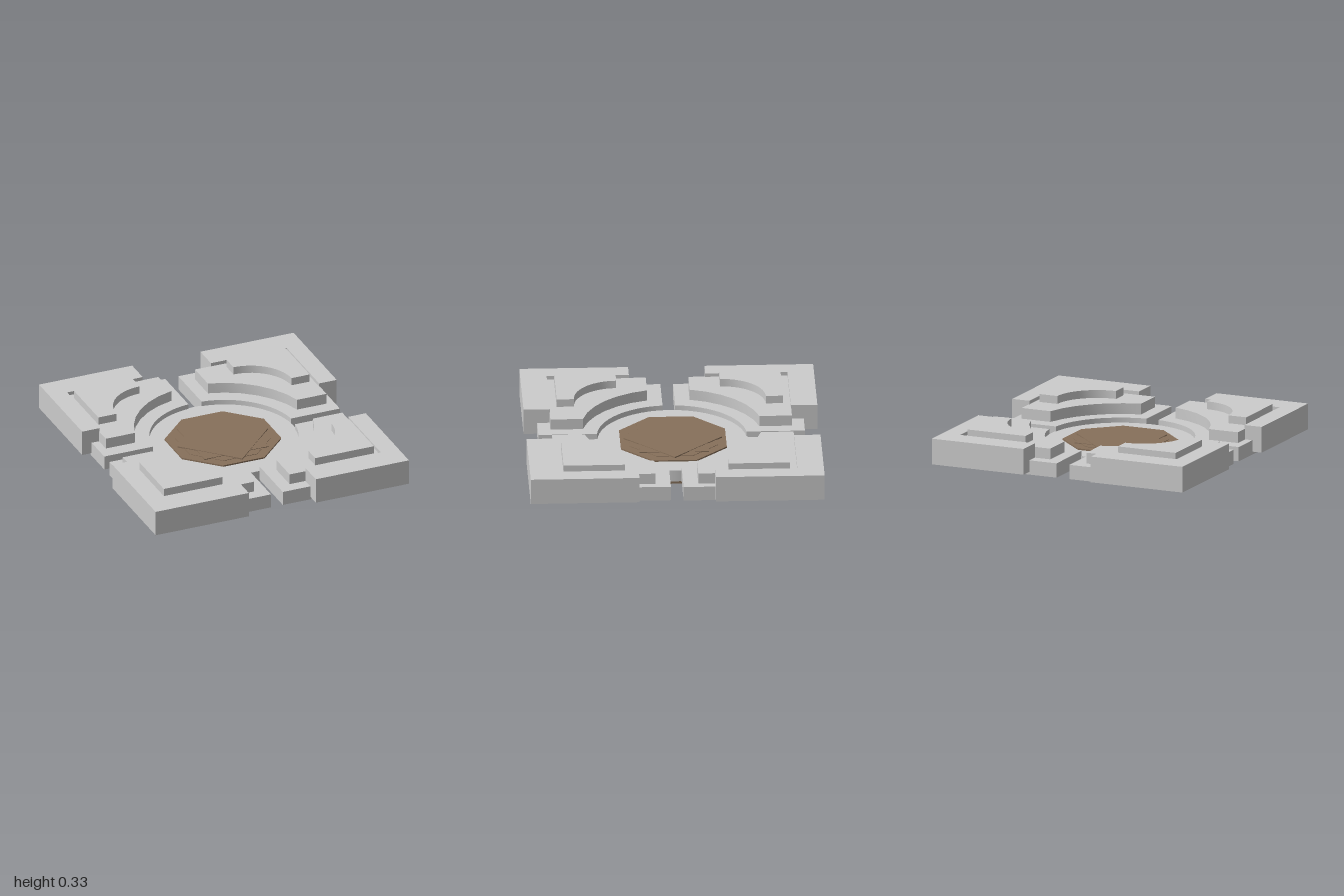
import * as THREE from 'three';
import { toCreasedNormals } from 'three/addons/utils/BufferGeometryUtils.js';

const grey = new THREE.MeshStandardMaterial({ color: 0xcccccc });
const brown = new THREE.MeshStandardMaterial({ color: 0x87705a });

// Solid with a plan outline of [x, z] points between two heights
function slab(name, points, y0, y1, material) {
  const shape = new THREE.Shape(points.map(([x, z]) => new THREE.Vector2(x, z)));
  const flat = new THREE.ExtrudeGeometry(shape, { depth: y1 - y0, bevelEnabled: false });
  flat.rotateX(Math.PI / 2).translate(0, y1, 0);
  const mesh = new THREE.Mesh(toCreasedNormals(flat, 0.4), material);
  mesh.name = name;
  return mesh;
}

// Points along an arc round (cx, cz), from angle a0 to a1
function arc(cx, cz, r, a0, a1, n) {
  return Array.from({ length: n + 1 }, (_, i) => {
    const a = a0 + (a1 - a0) * i / n;
    return [cx + r * Math.cos(a), cz + r * Math.sin(a)];
  });
}

// Rectangle whose inner corner is scooped out by a circle round the centre
function scooped(x0, z0, x1, z1, r, n) {
  return [[x1, z0], [x1, z1], [x0, z1],
    ...arc(0, 0, r, Math.acos(x0 / r), Math.asin(z0 / r), n)];
}

const layers = [
  ['lowerSlab', scooped(0.046, 0.043, 0.87, 0.907, 0.51, 16), 0.10, 0.2],
  ['middleStep', scooped(0.133, 0.145, 0.815, 0.822, 0.615, 6), 0.19, 0.275],
  ['cornerWall', [[0.25, 1], [0.94, 1], [0.94, 0.26], [0.81, 0.26], [0.81, 0.82], [0.25, 0.82]], 0.12, 0.3],
  ['topPlate', [[0.78, 0.353], [0.78, 0.77], [0.345, 0.77],
    ...arc(0.345, 0.353, 0.3, Math.PI / 2, 0, 14)], 0.27, 0.33],
];

export function createModel() {
  const model = new THREE.Group();
  model.name = 'floorOrnament';

  // Four stepped corners, mirrored in plan
  for (const sx of [-1, 1]) for (const sz of [-1, 1]) {
    const corner = new THREE.Group();
    corner.name = (sz > 0 ? 'front' : 'back') + (sx > 0 ? 'Left' : 'Right') + 'Corner';
    for (const [name, points, y0, y1] of layers) {
      corner.add(slab(name, points.map(([x, z]) => [x * sx, z * sz]), y0, y1, grey));
    }
    corner.position.x = sx < 0 ? -0.005 : sz > 0 ? -0.009 : 0;
    model.add(corner);
  }

  // Round plate joining the corners
  const disc = new THREE.Mesh(new THREE.CylinderGeometry(0.513, 0.513, 0.08, 48), grey);
  disc.name = 'centrePlate';
  disc.position.set(-0.003, 0.125, -0.006);
  model.add(disc);

  // Octagonal medallion with thin inlays on top
  const ngon = (sides, r, turn) => arc(0, 0, r, turn, turn + 2 * Math.PI, sides).slice(0, sides);
  const medallion = new THREE.Group();
  medallion.name = 'medallion';
  medallion.position.set(-0.012, 0, -0.007);
  const body = slab('medallionBody', ngon(8, 0.39, Math.PI / 8), 0, 0.175, brown);
  body.scale.x = 1.02;
  medallion.add(
    body,
    slab('octagonInlay', ngon(8, 0.325, Math.PI / 8), 0.17, 0.178, brown),
    slab('squareInlay', ngon(4, 0.335, Math.PI / 4), 0.17, 0.181, brown),
    slab('diamondInlay', ngon(4, 0.335, 0), 0.17, 0.184, brown),
  );
  model.add(medallion);

  return model;
}
